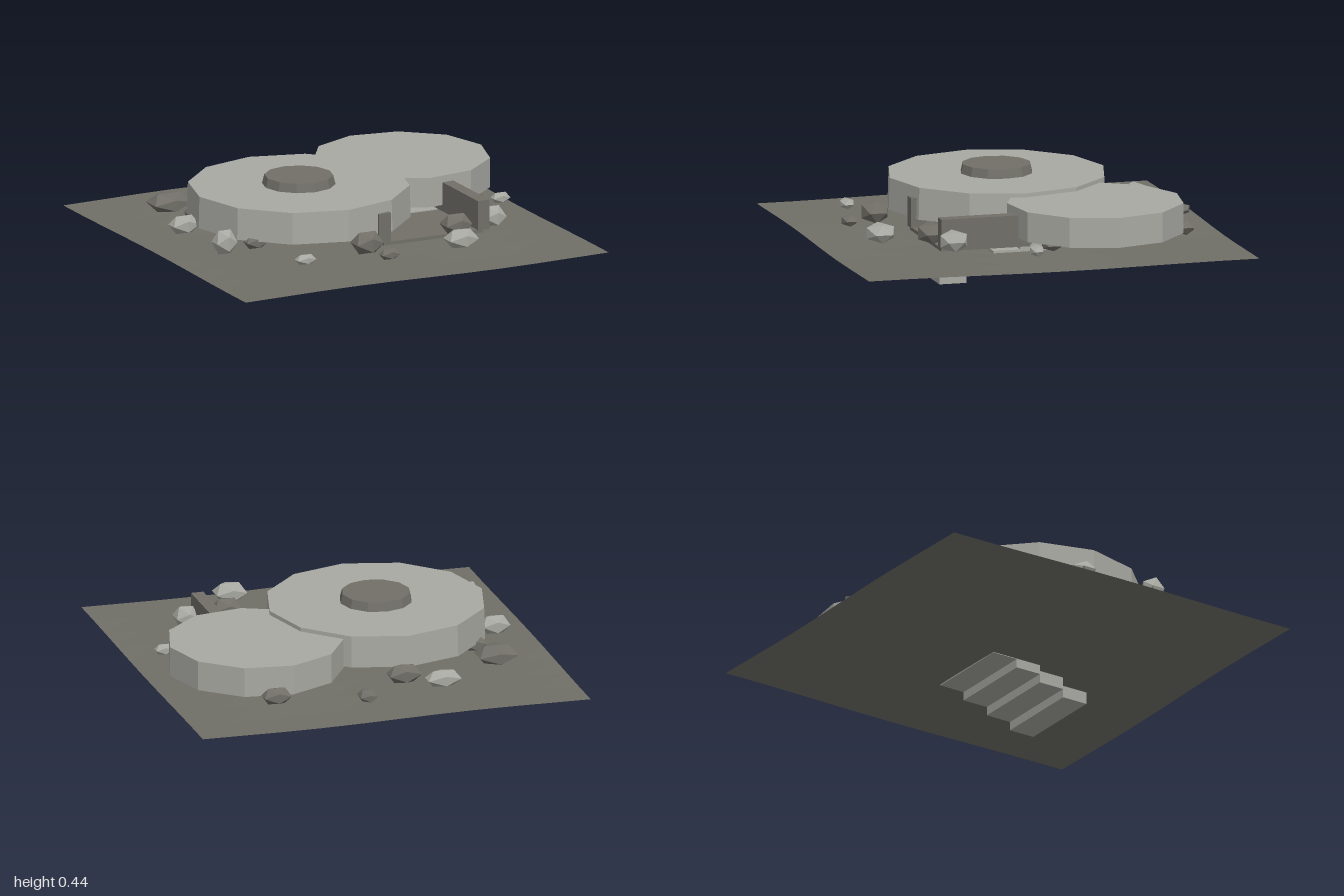
import * as THREE from 'three';

const lightStone = new THREE.MeshStandardMaterial({ color: 0xa8a9a2, flatShading: true });
lightStone.name = 'light stone';
const darkStone = new THREE.MeshStandardMaterial({ color: 0x716f68, flatShading: true });
darkStone.name = 'dark stone';
const earth = new THREE.MeshStandardMaterial({ color: 0x706f67, flatShading: true, side: THREE.DoubleSide });
earth.name = 'earth';

export function createModel() {
  const group = new THREE.Group();

  const add = (name, geometry, material, x, y, z) => {
    const mesh = new THREE.Mesh(geometry, material);
    mesh.name = name;
    mesh.position.set(x, y, z);
    group.add(mesh);
    return mesh;
  };
  const box = (name, mat, x0, x1, y0, y1, z0, z1) =>
    add(name, new THREE.BoxGeometry(x1 - x0, y1 - y0, z1 - z0), mat, (x0 + x1) / 2, (y0 + y1) / 2, (z0 + z1) / 2);
  // Many-sided drum with one corner pointing along +x
  const drum = (name, mat, x, z, rTop, rBottom, y0, y1, sides) => {
    const geometry = new THREE.CylinderGeometry(rTop, rBottom, y1 - y0, sides).rotateY(Math.PI / 2);
    return add(name, geometry, mat, x, (y0 + y1) / 2, z);
  };

  // Gently uneven ground sheet
  const ground = new THREE.PlaneGeometry(2, 2, 10, 10).rotateX(-Math.PI / 2);
  const p = ground.attributes.position;
  for (let i = 0; i < p.count; i++) {
    p.setY(i, 0.005 * Math.sin(p.getX(i) * 4) * Math.cos(p.getZ(i) * 3.5));
  }
  ground.computeVertexNormals();
  add('ground', ground, earth, 0, 0.137, 0);

  // Round platforms and the raised cap
  drum('mainPlatform', lightStone, -0.205, 0, 0.547, 0.552, 0.235, 0.395, 12);
  drum('sidePlatform', lightStone, 0.51, -0.3, 0.44, 0.44, 0.225, 0.375, 11);
  drum('platformCap', darkStone, -0.205, 0, 0.17, 0.182, 0.393, 0.44, 12);

  // Sunken entrance: floor slab, side walls and steps descending to the front
  box('entranceFloor', darkStone, 0.01, 0.56, 0.175, 0.192, 0.05, 0.505);
  box('entranceWallRight', darkStone, -0.02, 0.048, 0.19, 0.34, 0.05, 0.51);
  box('entranceWallLeft', darkStone, 0.525, 0.588, 0.19, 0.34, 0.05, 0.51);
  for (let i = 0; i < 4; i++) {
    const y = 0.045 * i, z = 0.5 - 0.138 * i;
    box('step' + (i + 1), lightStone, 0.05, 0.515, y, y + 0.062, z - 0.138, z);
  }

  // Scattered rocks: x, z, half width, half height, half depth, is light
  const rocks = [
    [-0.67, -0.5, 0.1, 0.045, 0.09, 0],
    [-0.32, -0.745, 0.085, 0.04, 0.055, 1],
    [-0.15, -0.64, 0.08, 0.045, 0.055, 0],
    [0.1, -0.84, 0.045, 0.028, 0.06, 0],
    [0.54, -0.745, 0.07, 0.04, 0.05, 0],
    [-0.62, -0.3, 0.055, 0.035, 0.045, 0],
    [-0.79, -0.095, 0.07, 0.045, 0.055, 1],
    [-0.78, 0.33, 0.055, 0.06, 0.055, 1],
    [-0.6, 0.31, 0.055, 0.035, 0.045, 0],
    [-0.51, 0.68, 0.05, 0.024, 0.035, 1],
    [-0.15, 0.64, 0.072, 0.055, 0.067, 0],
    [-0.1, 0.785, 0.048, 0.027, 0.038, 0],
    [0.315, 0.745, 0.078, 0.045, 0.07, 1],
    [0.405, 0.51, 0.07, 0.05, 0.067, 0],
    [0.63, 0.46, 0.058, 0.05, 0.068, 1],
    [0.855, 0.1, 0.045, 0.026, 0.033, 1],
    [0.74, -0.01, 0.06, 0.028, 0.05, 0],
  ];
  const rockShape = new THREE.IcosahedronGeometry(1 / 0.8507, 0);
  for (const [x, z, w, h, d, light] of rocks) {
    add('rock', rockShape, light ? lightStone : darkStone, x, 0.19 + h, z).scale.set(w, h, d);
  }

  return group;
}
